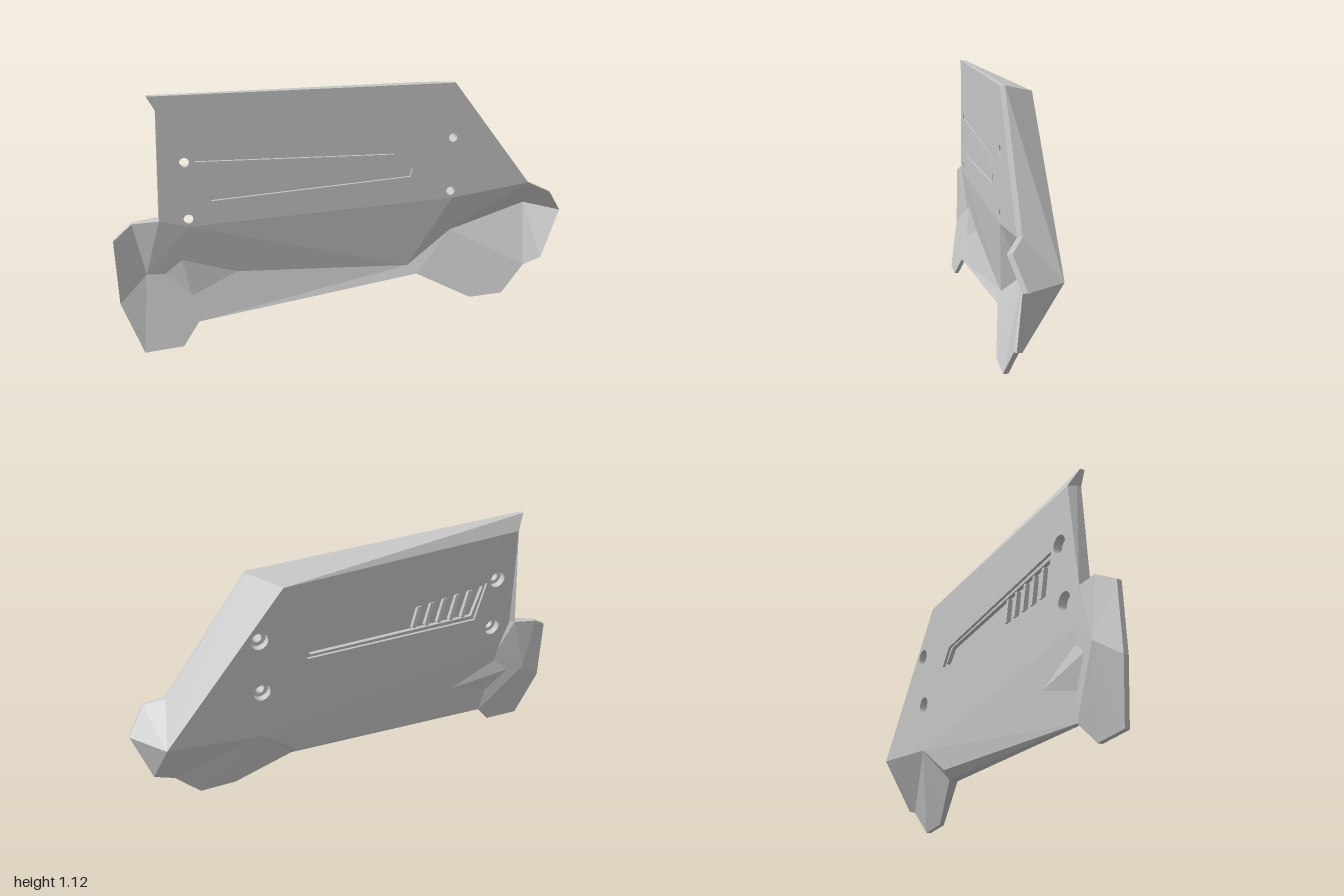
import * as THREE from 'three';

export function createModel() {
  const group = new THREE.Group();
  const grey = new THREE.MeshStandardMaterial({ color: 0xc8c8c8, side: THREE.DoubleSide });
  const FRONT = 0.055;
  const backZ = (x, y) => -0.09 - 0.079 * (x - 0.35) - 0.043 * (y - 1.05);

  const add = (name, geometry) => {
    const mesh = new THREE.Mesh(geometry, grey);
    mesh.name = name;
    group.add(mesh);
    return mesh;
  };
  const facets = (name, tris) => {
    const g = new THREE.BufferGeometry();
    g.setAttribute('position', new THREE.Float32BufferAttribute(tris.flat(2), 3));
    g.computeVertexNormals();
    return add(name, g);
  };
  // Orders a triangle so it faces +z (side 1) or -z (side -1)
  const facing = (t, side) => {
    const [a, b, c] = t;
    const area = (b[0] - a[0]) * (c[1] - a[1]) - (b[1] - a[1]) * (c[0] - a[0]);
    return area * side < 0 ? [a, c, b] : t;
  };
  const vec = (pts) => pts.map(([x, y]) => new THREE.Vector2(x, y));
  // Flat sheet with holes, its depth given by a rule
  const sheet = (name, outline, holes, zAt, side) => {
    const shape = new THREE.Shape(vec(outline));
    holes.forEach((h) => shape.holes.push(new THREE.Path(vec(h))));
    const p = new THREE.ShapeGeometry(shape).toNonIndexed().attributes.position;
    const tris = [];
    for (let i = 0; i < p.count; i += 3) {
      tris.push(facing([0, 1, 2].map((k) => {
        const x = p.getX(i + k), y = p.getY(i + k);
        return [x, y, zAt(x, y)];
      }), side));
    }
    facets(name, tris);
  };
  // Wall between two depths along a closed loop
  const wall = (name, loop, z0, z1) => {
    const tris = [];
    loop.forEach(([x, y], i) => {
      const [u, v] = loop[(i + 1) % loop.length];
      const a = [x, y, z0(x, y)], b = [u, v, z0(u, v)], c = [u, v, z1(u, v)], d = [x, y, z1(x, y)];
      tris.push([a, b, c], [a, c, d]);
    });
    facets(name, tris);
  };
  const circle = (cx, cy, r) => Array.from({ length: 24 }, (_, i) => {
    const t = ((i + 0.3) / 24) * Math.PI * 2;
    return [cx + r * Math.cos(t), cy + r * Math.sin(t)];
  });
  const inset = (pts, sx, sy) => pts.map(([x, y]) => [-0.2 + (x + 0.2) * sx, 0.745 + (y - 0.745) * sy]);
  const deep = (d) => (x, y) => backZ(x, y) + d;
  const level = (z) => () => z;

  // Outer edge a to r, clockwise; capitals are the inner fold points
  const P = {
    a: [-0.815, 1.12, FRONT], b: [0.46, 1.08, FRONT], c: [0.835, 0.585, FRONT], d: [0.92, 0.55, 0.105],
    e: [1, 0.435, 0.065], f: [0.925, 0.2, 0.07], g: [0.84, 0.17, 0.065], h: [0.73, 0.045, 0.085],
    i: [0.57, 0.045, 0.085], j: [0.32, 0.18, 0.04], k: [-0.68, 0.1, 0.07], l: [-0.755, 0.005, 0.1],
    m: [-0.92, 0, 0.1], n: [-1, 0.23, 0.06], o: [-1, 0.52, 0.055], p: [-0.92, 0.573, 0.02],
    q: [-0.81, 0.588, FRONT], r: [-0.785, 1.06, FRONT],
    s: [-0.69, 0.55, FRONT], t: [0.47, 0.55, FRONT],
    A: [-0.88, 0.33, 0.015], B: [0.28, 0.22, 0.02], C: [0.5, 0.35, -0.03], D: [0.88, 0.43, -0.07],
  };
  const edge = 'abcdefghijklmnopqr';
  // Rear counterparts: rim just behind each edge point, then the back folds
  const R = {};
  for (const key of edge) R[key] = [P[key][0], P[key][1], P[key][2] - 0.02];
  R.j[2] = 0;
  R.q[2] = 0.005;
  R.A = [-0.88, 0.33, 0];
  R.B = [0.3, 0.215, -0.037];
  const onBack = { C: [0.47, 0.36], D: [0.88, 0.43], S: [-0.74, 0.45], U: [-0.79, 0.59], V: [-0.775, 1.055], W: [0.35, 1.05] };
  for (const key in onBack) R[key] = [...onBack[key], backZ(...onBack[key])];
  const pick = (table, words, side) => words.split(' ').map((w) => facing([...w].map((ch) => table[ch]), side));

  // Panel openings
  const bolts = [[-0.69, 0.835], [-0.69, 0.585], [0.46, 0.835], [0.46, 0.585]];
  const groove = [[-0.66, 0.842], [0.2, 0.787], [0.28, 0.71], [0.27, 0.672], [-0.59, 0.655]];
  const slot = [[-0.635, 0.832], [0.2, 0.778], [0.262, 0.705], [0.25, 0.69], [-0.585, 0.652]];
  const grooveInner = inset(groove, 0.982, 0.91);
  const slotInner = inset(slot, 0.965, 0.8);

  // Front plate in five sections, one opening in each
  const top = (x) => [x, 1.12 - 0.0314 * (x + 0.815)];
  const [x0, x1] = [-0.665, 0.37];
  const leftMid = [-0.804, 0.7], rightMid = [0.748, 0.7];
  const sections = [
    [[P.a, top(x0), [x0, 0.7], leftMid, P.r], 0],
    [[leftMid, [x0, 0.7], [x0, 0.55], P.s, P.q], 1],
    [[top(x1), P.b, rightMid, [x1, 0.7]], 2],
    [[[x1, 0.7], rightMid, P.c, P.t, [x1, 0.55]], 3],
  ];
  for (const [outline, n] of sections) {
    sheet('frontPlate', outline, [circle(...bolts[n], 0.02)], level(FRONT), 1);
  }
  sheet('frontPlate', [top(x0), top(x1), [x1, 0.7], [x1, 0.55], [x0, 0.55], [x0, 0.7]], [groove], level(FRONT), 1);

  // Folded lower front
  facets('foldedFront', pick(P,
    'qAs sAB sBt tBC tCc cCD cDd dDe Def Dfg CDg Cgh Chi Cij CjB Bjk BkA Akl Alm Amn Ano Aop Apq', 1));

  // Back plate, chamfers and lower back
  sheet('backPlate', [...'VWDCSU'].map((ch) => R[ch]),
    [slot, ...bolts.map(([x, y]) => circle(x, y, 0.038))], backZ, -1);
  facets('foldedBack', pick(R,
    'abW aWV bcD bDW cdD deD efD Dfg CDg Cgh Chi Cij CjB Bjk BkC CkS SkA Akl Alm Amn Ano Aop Apq AqS SqU', -1));
  facets('leftChamfer', [[R.r, R.a, R.V], [R.q, R.r, R.V], [R.q, R.V, R.U]]);

  // Thin outer rim
  const rim = [];
  [...edge].forEach((u, i) => {
    const v = edge[(i + 1) % edge.length];
    rim.push([P[u], R[u], R[v]], [P[u], R[v], P[v]]);
  });
  facets('outerRim', rim);

  // Counterbored bolt holes
  for (const [x, y] of bolts) {
    const seat = backZ(x, y) + 0.035;
    wall('boltCounterbore', circle(x, y, 0.038), backZ, level(seat));
    sheet('boltSeat', circle(x, y, 0.038), [circle(x, y, 0.02)], level(seat), -1);
    wall('boltHole', circle(x, y, 0.02), level(seat), level(FRONT));
  }

  // Fine groove around the front inlay
  wall('grooveOuterWall', groove, level(FRONT), level(FRONT - 0.01));
  wall('grooveInnerWall', grooveInner, level(FRONT), level(FRONT - 0.01));
  sheet('grooveFloor', groove, [grooveInner], level(FRONT - 0.01), 1);
  sheet('frontInlay', grooveInner, [], level(FRONT), 1);

  // Stepped rear slot
  wall('slotOuterWall', slot, backZ, deep(0.012));
  sheet('slotStep', slot, [slotInner], deep(0.012), -1);
  wall('slotInnerWall', slotInner, deep(0.012), deep(0.03));
  sheet('slotFloor', slotInner, [], deep(0.03), -1);

  // Ribs across the wide end of the slot
  for (let i = 0; i < 5; i++) {
    const x = -0.54 + i * 0.065;
    const rib = add('slotRib', new THREE.BoxGeometry(0.018, 0.132 - i * 0.007, 0.02));
    rib.position.set(x, 0.741, backZ(x, 0.741) + 0.021);
    rib.rotation.z = 0.25;
  }
  return group;
}
